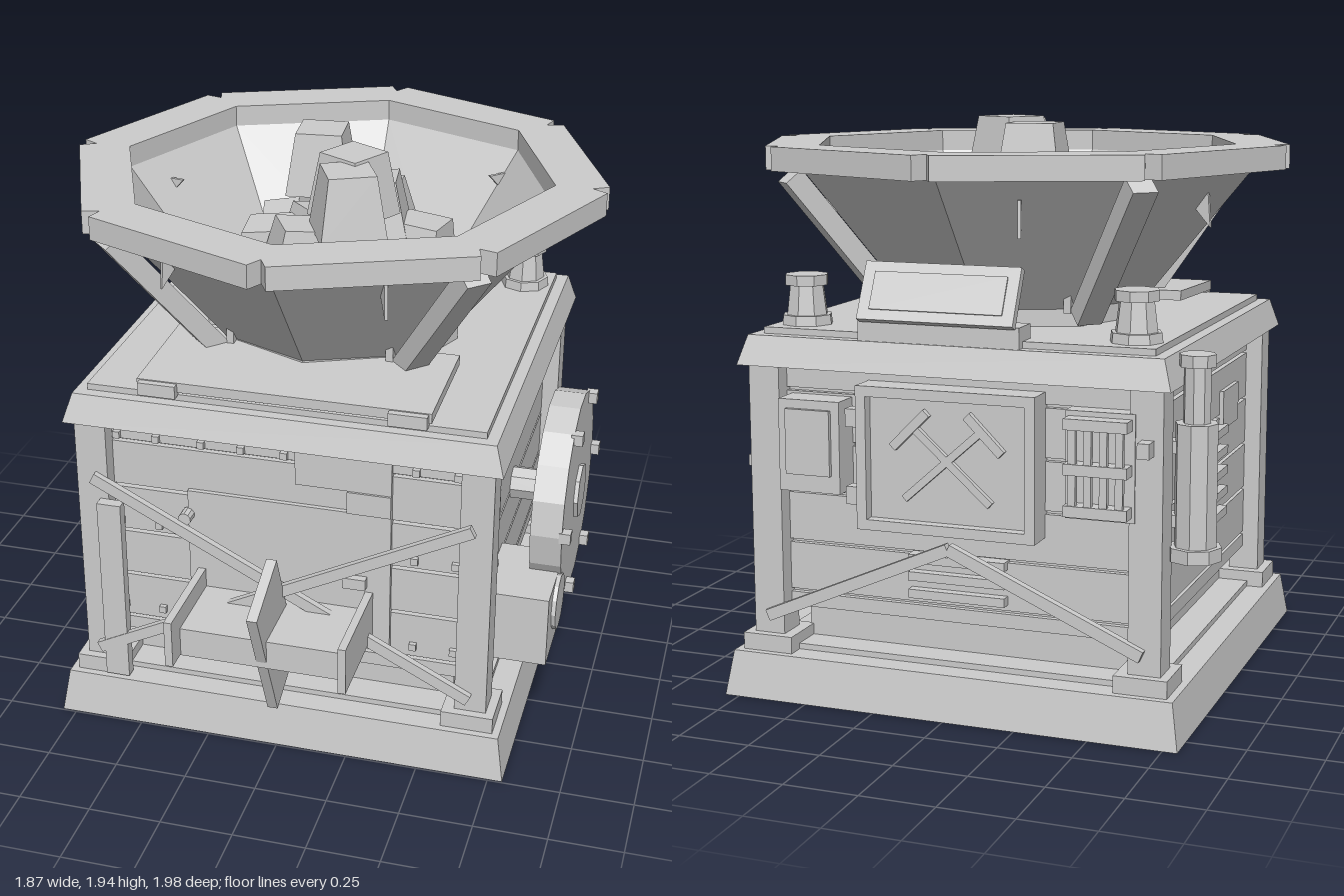
import * as THREE from 'three';

const C = -0.055; // z of the machine's middle
const metal = new THREE.MeshStandardMaterial({ color: 0xcccccc });
metal.name = 'paleMetal';
metal.flatShading = true;

export function createModel() {
  const root = new THREE.Group();
  root.name = 'oreCrusher';

  const add = (name, geo, x = 0, y = 0, z = 0, parent = root) => {
    const m = new THREE.Mesh(geo, metal);
    m.name = name;
    m.position.set(x, y, z);
    parent.add(m);
    return m;
  };
  // box from its lower and upper limits
  const box = (name, x0, x1, y0, y1, z0, z1, parent = root) =>
    add(name, new THREE.BoxGeometry(x1 - x0, y1 - y0, z1 - z0), (x0 + x1) / 2, (y0 + y1) / 2, (z0 + z1) / 2, parent);
  const slab = (name, top, bottom, y0, y1) => {
    const g = new THREE.CylinderGeometry(top * Math.SQRT2, bottom * Math.SQRT2, y1 - y0, 4).rotateY(Math.PI / 4);
    return add(name, g, 0, (y0 + y1) / 2, C);
  };
  const drum = (name, r0, r1, y0, y1, x, z, sides = 8) =>
    add(name, new THREE.CylinderGeometry(r1, r0, y1 - y0, sides), x, (y0 + y1) / 2, z);
  // flat bar between two points in a plane of constant z
  const bar = (name, x0, y0, x1, y1, z, w, d) => {
    const m = add(name, new THREE.BoxGeometry(Math.hypot(x1 - x0, y1 - y0), w, d), (x0 + x1) / 2, (y0 + y1) / 2, z);
    m.rotation.z = Math.atan2(y1 - y0, x1 - x0);
    return m;
  };

  // base, body core and top
  slab('base', 0.775, 0.8, 0, 0.155);
  slab('baseFloor', 0.69, 0.69, 0.15, 0.175);
  slab('bodyCore', 0.64, 0.64, 0.3, 1.15);
  slab('bodyFoot', 0.58, 0.58, 0.17, 0.31);
  slab('topSlab', 0.72, 0.75, 1.14, 1.24);
  slab('topPlate', 0.68, 0.68, 1.23, 1.262);

  // corner posts with feet
  for (const sx of [-1, 1]) for (const sz of [-1, 1]) {
    add('post', new THREE.BoxGeometry(0.11, 1.0, 0.11), sx * 0.665, 0.65, C + sz * 0.665);
    add('postFoot', new THREE.BoxGeometry(0.18, 0.06, 0.18), sx * 0.66, 0.183, C + sz * 0.66);
  }

  // planked walls
  const seams = [0.3, 0.36, 0.535, 0.71, 0.885, 1.06, 1.145];
  for (let s = 0; s < 4; s++) {
    const wall = new THREE.Group();
    wall.name = 'plankWall';
    wall.position.z = C;
    wall.rotation.y = s * Math.PI / 2;
    root.add(wall);
    for (let i = 0; i < seams.length - 1; i++)
      box('plank', -0.62, 0.62, seams[i], seams[i + 1] - 0.012, 0.62, 0.66, wall);
  }

  // front wall: plates, rivets, braces
  box('frontPlate', -0.34, 0.37, 0.38, 0.9, 0.59, 0.622);
  box('upperPlate', 0.04, 0.37, 0.98, 1.14, 0.59, 0.622);
  box('patchPlate', 0.22, 0.37, 0.9, 0.98, 0.59, 0.63);
  box('latch', 0.21, 0.29, 0.62, 0.66, 0.6, 0.65);
  for (const x of [-0.59, -0.45, -0.29, -0.15, 0, 0.45, 0.59]) box('rivet', x - 0.012, x + 0.012, 1.065, 1.09, 0.6, 0.622);
  for (const x of [-0.59, -0.45, 0.45, 0.59]) for (const y of [0.73, 0.39])
    box('rivet', x - 0.012, x + 0.012, y, y + 0.025, 0.6, 0.622);
  for (const y of [0.81, 0.47])
    add('frontBolt', new THREE.CylinderGeometry(0.023, 0.023, 0.05, 10).rotateX(Math.PI / 2), -0.34, y, 0.64);
  bar('frontBrace', -0.66, 0.935, 0.66, 0.265, 0.675, 0.04, 0.025);
  bar('frontBrace', 0.66, 0.935, -0.66, 0.265, 0.695, 0.04, 0.025);
  box('leaningPlank', -0.64, -0.555, 0.16, 0.85, 0.665, 0.705);

  // front chute with splitter blade
  for (const s of [-1, 1]) add('chuteSide', new THREE.BoxGeometry(0.027, 0.17, 0.36), s * 0.297, 0.515, 0.8);
  box('chuteTray', -0.285, 0.285, 0.425, 0.53, 0.6, 0.9);
  add('splitterBlade', new THREE.BoxGeometry(0.036, 0.53, 0.25), 0, 0.475, 0.776).rotation.x = 0.414;

  // blower wheel on the +x side
  const disc = (name, r, x0, x1, y, z, sides) =>
    add(name, new THREE.CylinderGeometry(r, r, x1 - x0, sides).rotateZ(Math.PI / 2), (x0 + x1) / 2, y, z);
  disc('blowerAxle', 0.06, 0.6, 0.8, 0.72, C, 8);
  disc('blowerWheel', 0.36, 0.785, 0.895, 0.72, C, 18);
  disc('blowerHub', 0.1, 0.88, 0.91, 0.72, C, 8);
  for (let i = 0; i < 6; i++) {
    const a = i * Math.PI / 3;
    add('blowerBolt', new THREE.BoxGeometry(0.04, 0.04, 0.04), 0.905, 0.72 + 0.34 * Math.sin(a), C + 0.34 * Math.cos(a));
  }
  box('blowerOutlet', 0.6, 0.885, 0.3, 0.56, 0.115, 0.455);
  disc('outletCap', 0.1, 0.85, 0.9, 0.46, 0.285, 12);
  box('sidePlate', 0.64, 0.675, 0.41, 0.585, 0.27, 0.51);
  box('sidePlate', 0.64, 0.675, 0.76, 0.87, 0.28, 0.38);
  box('sidePlate', 0.64, 0.672, 0.885, 1.06, -0.6, -0.315);

  // vents, patch and piston on the -x side
  for (let i = 0; i < 5; i++) box('ventSlat', -0.69, -0.64, 0.52 + i * 0.075, 0.55 + i * 0.075, -0.27, 0.18);
  box('sidePatch', -0.675, -0.64, 0.83, 0.97, 0.16, 0.38);
  drum('pistonBody', 0.07, 0.07, 0.6, 1.02, -0.79, -0.64);
  drum('pistonFoot', 0.088, 0.088, 0.575, 0.62, -0.79, -0.64);
  drum('pistonRod', 0.045, 0.045, 1.0, 1.21, -0.79, -0.64);
  drum('pistonCap', 0.06, 0.06, 1.2, 1.24, -0.79, -0.64);
  for (const y of [0.7, 0.94]) box('pistonBracket', -0.79, -0.65, y - 0.02, y + 0.02, -0.67, -0.61);

  // back hatch with frame and crossed picks
  box('hatch', -0.31, 0.31, 0.62, 1.1, -0.78, -0.7);
  for (const s of [-1, 1]) {
    add('hatchFrame', new THREE.BoxGeometry(0.035, 0.48, 0.05), s * 0.293, 0.86, -0.795);
    add('hatchFrame', new THREE.BoxGeometry(0.62, 0.035, 0.05), 0, 0.86 + s * 0.223, -0.795);
    add('hatchHinge', new THREE.BoxGeometry(0.06, 0.06, 0.05), 0.32, 0.86 + s * 0.13, -0.79);
    bar('pickHandle', s * 0.15, 0.73, -s * 0.13, 0.98, -0.788, 0.025, 0.02);
    bar('pickHead', -s * 0.19, 0.9, -s * 0.07, 1.02, -0.79, 0.03, 0.022);
    bar('backBrace', 0, 0.57, s * 0.66, 0.28, -0.785, 0.04, 0.03);
  }
  for (let i = 0; i < 3; i++) box('backSlat', -0.18, 0.16, 0.38 + i * 0.06, 0.41 + i * 0.06, -0.75, -0.7);

  // back switch box and gauge cage
  box('switchBox', 0.37, 0.59, 0.73, 1.04, -0.82, -0.7);
  box('switchBoxDoor', 0.4, 0.56, 0.79, 1.01, -0.835, -0.81);
  box('gaugePlate', -0.63, -0.4, 0.71, 1.06, -0.78, -0.7);
  for (let i = 0; i < 4; i++) box('gaugeBar', -0.605 + i * 0.052, -0.58 + i * 0.052, 0.76, 1.01, -0.83, -0.81);
  for (const y of [0.745, 0.88, 1.025]) box('gaugeRail', -0.62, -0.41, y - 0.018, y + 0.018, -0.835, -0.77);
  box('gaugeHandle', -0.69, -0.65, 0.93, 0.98, -0.83, -0.76);

  // tilted console on the back of the top
  box('consoleFoot', -0.24, 0.32, 1.24, 1.31, -0.77, -0.66);
  add('consolePanel', new THREE.BoxGeometry(0.54, 0.2, 0.03), 0.04, 1.4, -0.745).rotation.x = 0.46;
  add('consoleFace', new THREE.BoxGeometry(0.46, 0.13, 0.03), 0.04, 1.402, -0.75).rotation.x = 0.46;

  // flanged studs on the top
  for (const s of [-1, 1]) {
    drum('studFlange', 0.09, 0.085, 1.25, 1.295, s * 0.58, -0.61);
    drum('studColumn', 0.072, 0.058, 1.29, 1.4, s * 0.58, -0.61);
    drum('studCap', 0.075, 0.075, 1.395, 1.43, s * 0.58, -0.61);
  }

  // front lid with clamps
  add('lid', new THREE.BoxGeometry(1.0, 0.035, 0.43), 0, 1.295, 0.415).rotation.x = 0.03;
  for (const s of [-1, 1]) add('lidClamp', new THREE.BoxGeometry(0.13, 0.045, 0.06), s * 0.425, 1.28, 0.625);

  // eight-sided hopper
  const profile = [[0.44, 1.25], [0.44, 1.32], [0.82, 1.785], [0.755, 1.785], [0.42, 1.32], [0, 1.32]];
  add('hopper', new THREE.LatheGeometry(profile.map(p => new THREE.Vector2(...p)), 8), 0, 0, C);

  // rim with a notch in each corner
  const rim = new THREE.Shape(), hole = new THREE.Path(), R = 0.945;
  const corner = i => new THREE.Vector2(Math.cos(i * Math.PI / 4), Math.sin(i * Math.PI / 4));
  const pts = [], inner = [];
  for (let i = 0; i < 8; i++) {
    const p = corner(i).multiplyScalar(R);
    const near = j => p.clone().lerp(corner(j).multiplyScalar(R), 0.044);
    pts.push(near(i - 1), corner(i).multiplyScalar(R - 0.065), near(i + 1));
    inner.push(corner(i).multiplyScalar(0.755));
  }
  rim.setFromPoints(pts);
  hole.setFromPoints(inner.reverse());
  rim.holes.push(hole);
  add('hopperRim', new THREE.ExtrudeGeometry(rim, { depth: 0.08, bevelEnabled: false }).rotateX(-Math.PI / 2), 0, 1.78, C);

  // diagonal ribs under the rim and claws on the hopper floor
  for (let i = 0; i < 4; i++) {
    const g = new THREE.Group();
    g.name = 'hopperRib';
    g.position.z = C;
    g.rotation.y = Math.PI / 4 + i * Math.PI / 2;
    root.add(g);
    const rib = add('rib', new THREE.BoxGeometry(0.09, 0.6, 0.07), 0, 1.53, 0.67, g);
    rib.rotation.x = Math.atan2(0.38, 0.465);
    const sx = i % 2 ? 1 : -1, sz = i < 2 ? 1 : -1;
    add('floorClaw', new THREE.BoxGeometry(0.025, 0.1, 0.1), sx * 0.28, 1.36, C + sz * 0.31);
    add('floorClawArm', new THREE.BoxGeometry(0.12, 0.03, 0.02), sx * 0.32, 1.36, C + sz * 0.28);
  }

  // thin shards stuck through the hopper wall
  const shard = new THREE.Shape([[-0.05, 0.06], [0.05, 0.06], [0.06, -0.06]].map(p => new THREE.Vector2(...p)).reverse());
  for (const [x, z] of [[-0.22, -0.69], [0.48, -0.54], [-0.65, -0.175], [-0.4, 0.48], [0.31, 0.52]]) {
    const m = add('shard', new THREE.ExtrudeGeometry(shard, { depth: 0.012, bevelEnabled: false }), x, 1.65, z);
    m.rotation.y = Math.atan2(-(z - C), x);
  }

  // ore heap: x, z, top height, turn
  const ore = [
    [0.1, -0.29, 1.72, 0.02], [-0.1, -0.23, 1.93, 0.1], [-0.21, -0.19, 1.64, 0.25], [0.28, -0.13, 1.66, -0.15],
    [-0.21, 0.02, 1.66, 0.1], [-0.07, 0.16, 1.72, 0.5], [0.08, 0.02, 1.94, -0.5], [0.1, 0.17, 1.93, 0.45],
    [0.25, 0.07, 1.6, 0.3], [0.12, -0.14, 1.8, 0.15], [-0.06, -0.05, 1.7, 0.7], [-0.07, -0.22, 1.7, 0.6], [0.09, 0.12, 1.68, 0.1]
  ];
  for (const [x, z, top, turn] of ore) {
    const g = new THREE.CylinderGeometry(0.115, 0.16, 0.22, 4).rotateY(Math.PI / 4);
    const m = add('ore', g, x, top - 0.11, z);
    m.rotation.set(top > 1.85 ? 0 : 0.12 * Math.sin(z * 20), turn, top > 1.85 ? 0 : 0.12 * Math.sin(x * 20));
  }
  for (const [x, z] of [[-0.12, -0.15], [0.14, -0.15], [0, 0.12]])
    add('oreBottom', new THREE.BoxGeometry(0.24, 0.24, 0.24), x, 1.43, z).rotation.y = x * 3;

  return root;
}
